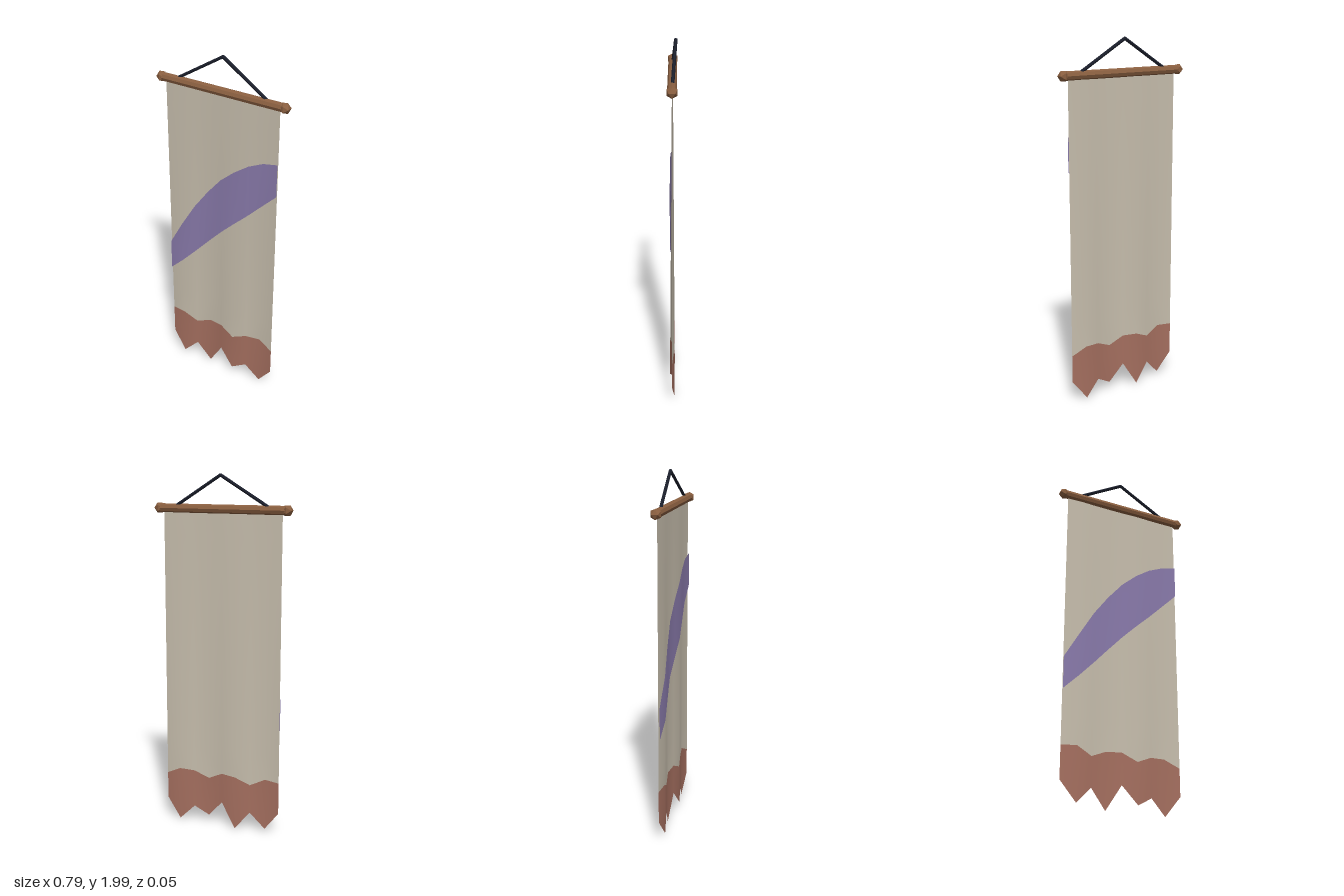
import * as THREE from 'three';

const COLS = 8, HALF_W = 0.345, ROD_Y = 1.81;

const material = (color, extra = {}) => new THREE.MeshStandardMaterial({ color, ...extra });

// Soft vertical folds that deepen towards the hem
const foldZ = (col, y) => (0.002 + 0.012 * (1 - y / ROD_Y)) * Math.sin(col * Math.PI / 2);

// Cloth strip between two edge outlines, each given as one height per column
function clothStrip(name, top, bottom, rows, color, offset = 0) {
  const geo = new THREE.PlaneGeometry(1, 1, COLS, rows);
  const pos = geo.attributes.position;
  for (let i = 0; i < pos.count; i++) {
    const col = i % (COLS + 1);
    const t = Math.floor(i / (COLS + 1)) / rows;
    const y = THREE.MathUtils.lerp(top[col], bottom[col], t);
    pos.setXYZ(i, (col / COLS * 2 - 1) * HALF_W, y, foldZ(col, y) + offset);
  }
  geo.computeVertexNormals();
  const mesh = new THREE.Mesh(geo, material(color, { side: THREE.DoubleSide }));
  mesh.name = name;
  return mesh;
}

// Straight round bar between two points
function bar(name, a, b, radius, sides, mat) {
  const dir = b.clone().sub(a);
  const mesh = new THREE.Mesh(new THREE.CylinderGeometry(radius, radius, dir.length(), sides), mat);
  mesh.position.copy(a).add(b).multiplyScalar(0.5);
  mesh.quaternion.setFromUnitVectors(new THREE.Vector3(0, 1, 0), dir.normalize());
  mesh.name = name;
  return mesh;
}

export function createModel() {
  const group = new THREE.Group();
  group.name = 'hangingBanner';

  // Cloth, dyed ragged hem and the sash on the front only
  const clothTop = Array(COLS + 1).fill(ROD_Y);
  const dyeLine = [0.315, 0.32, 0.278, 0.315, 0.32, 0.278, 0.315, 0.32, 0.278];
  const hem = [0.135, 0.025, 0.113, 0.008, 0.147, 0.05, 0.098, 0.013, 0.125];
  const sashTop = [0.796, 0.945, 1.087, 1.204, 1.304, 1.378, 1.437, 1.476, 1.495];
  const sashBottom = [0.616, 0.70, 0.79, 0.884, 0.976, 1.06, 1.14, 1.225, 1.31];
  group.add(
    clothStrip('cloth', clothTop, dyeLine, 10, 0xc8bfae),
    clothStrip('dyedHem', dyeLine, hem, 2, 0xa67060),
    clothStrip('sash', sashTop, sashBottom, 2, 0x8a7bac, 0.008)
  );

  // Wooden rod with faceted end knobs
  const wood = material(0x8a5f40, { flatShading: true });
  const rod = new THREE.Mesh(new THREE.CylinderGeometry(0.024, 0.024, 0.74, 8), wood);
  rod.rotation.z = Math.PI / 2;
  rod.position.y = ROD_Y;
  rod.name = 'rod';
  group.add(rod);

  // Cord rising to a peak set slightly back
  const cordMat = material(0x1a1e2a, { flatShading: true });
  const peak = new THREE.Vector3(0, 1.988, -0.017);
  for (const [side, s] of [['left', 1], ['right', -1]]) {
    const knob = new THREE.Mesh(new THREE.IcosahedronGeometry(0.031), wood);
    knob.position.set(s * 0.371, ROD_Y, 0);
    knob.name = side + 'Knob';
    const foot = new THREE.Vector3(s * 0.272, 1.822, -0.002);
    group.add(knob, bar(side + 'Cord', foot, peak, 0.009, 6, cordMat));
  }
  const knot = new THREE.Mesh(new THREE.IcosahedronGeometry(0.0095), cordMat);
  knot.position.copy(peak);
  knot.name = 'cordPeak';
  group.add(knot);

  return group;
}
